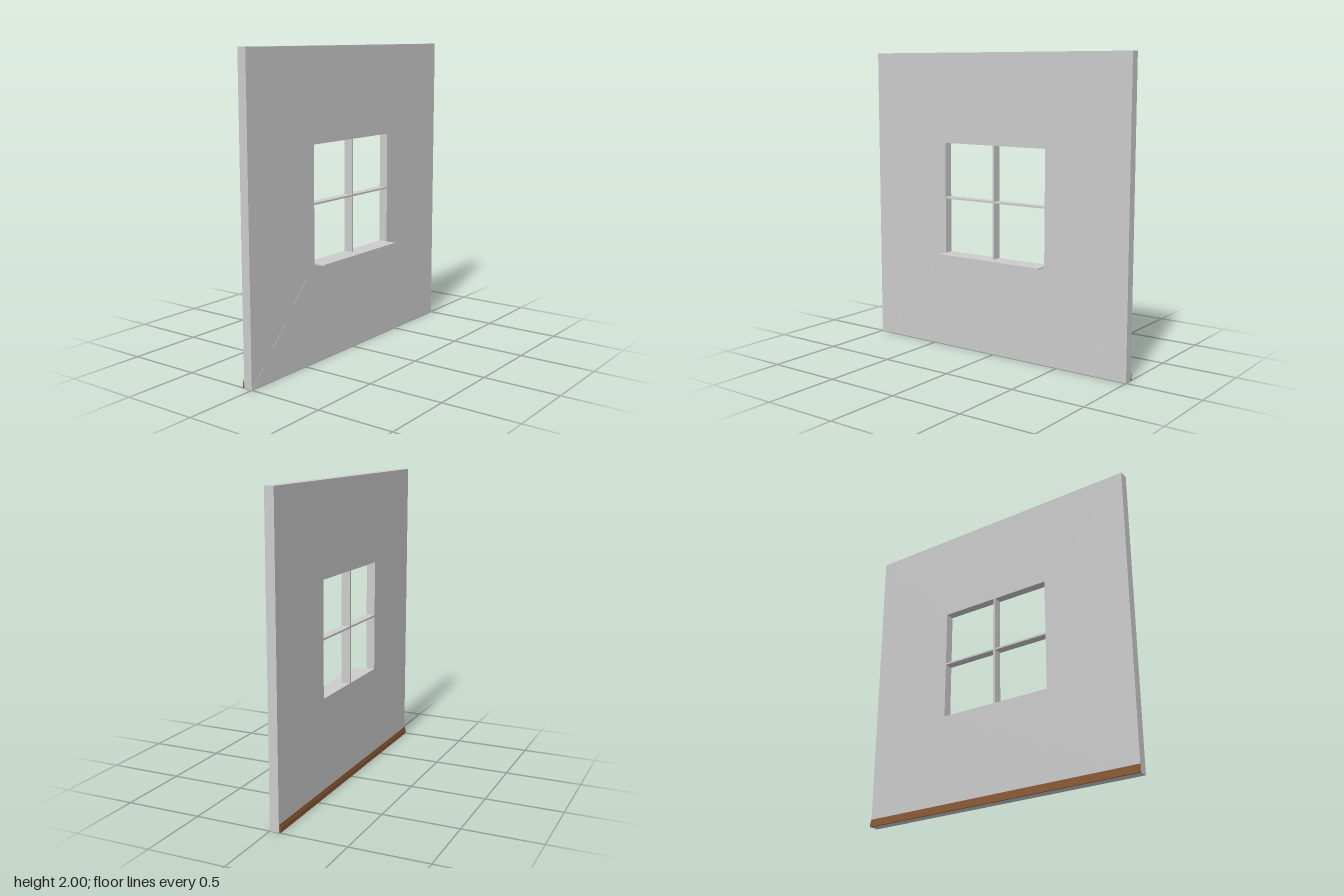
import * as THREE from 'three';

export function createModel() {
  const model = new THREE.Group();
  const plaster = new THREE.MeshStandardMaterial({ color: 0xcccccc });
  plaster.name = 'light grey plaster';
  const wood = new THREE.MeshStandardMaterial({ color: 0x8b5a35 });
  wood.name = 'brown wood';

  const depth = 0.06;
  const open = { x: 0.4, bottom: 0.65, top: 1.4 };

  const add = (name, geometry, material) => {
    const mesh = new THREE.Mesh(geometry, material);
    mesh.name = name;
    model.add(mesh);
    return mesh;
  };
  // Box given by its minimum and maximum corners
  const box = (name, material, [x0, y0, z0], [x1, y1, z1]) =>
    add(name, new THREE.BoxGeometry(x1 - x0, y1 - y0, z1 - z0), material)
      .position.set((x0 + x1) / 2, (y0 + y1) / 2, (z0 + z1) / 2);
  const polygon = (points) => points.map(([x, y]) => new THREE.Vector2(x, y));

  // Wall panel with a square window opening
  const wall = new THREE.Shape(polygon([[-1, 0], [1, 0], [1, 2], [-1, 2]]));
  wall.holes.push(new THREE.Path(polygon([
    [-open.x, open.bottom], [-open.x, open.top], [open.x, open.top], [open.x, open.bottom],
  ])));
  const wallGeometry = new THREE.ExtrudeGeometry(wall, { depth, bevelEnabled: false });
  wallGeometry.translate(0, 0, -depth);
  add('wall', wallGeometry, plaster);

  // Glazing bars, as deep as the wall
  box('verticalBar', plaster, [-0.007, open.bottom, -depth], [0.007, open.top, 0]);
  for (const side of [-1, 1]) {
    const x = [side * 0.007, side * open.x].sort((a, b) => a - b);
    box('horizontalBar', plaster, [x[0], 1.022, -depth], [x[1], 1.034, 0]);
  }

  // Thin window sill
  box('windowSill', plaster, [-open.x, 0.642, 0], [open.x, open.bottom, 0.073]);

  // Faint tapering creases from the sill to the lower corners
  for (const side of [-1, 1]) {
    const crease = new THREE.Shape(polygon([
      [side * open.x, open.bottom], [side * open.x, 0.642], [side * 0.99, 0.01],
    ]));
    const geometry = new THREE.ExtrudeGeometry(crease, { depth: 0.001, bevelEnabled: false });
    add('wallCrease', geometry, plaster);
  }

  // Skirting board along the back, stepped at the top
  box('skirtingBase', wood, [-1, 0, -0.07], [1, 0.035, -depth]);
  box('skirtingTop', wood, [-1, 0.035, -0.066], [1, 0.05, -depth]);

  return model;
}
